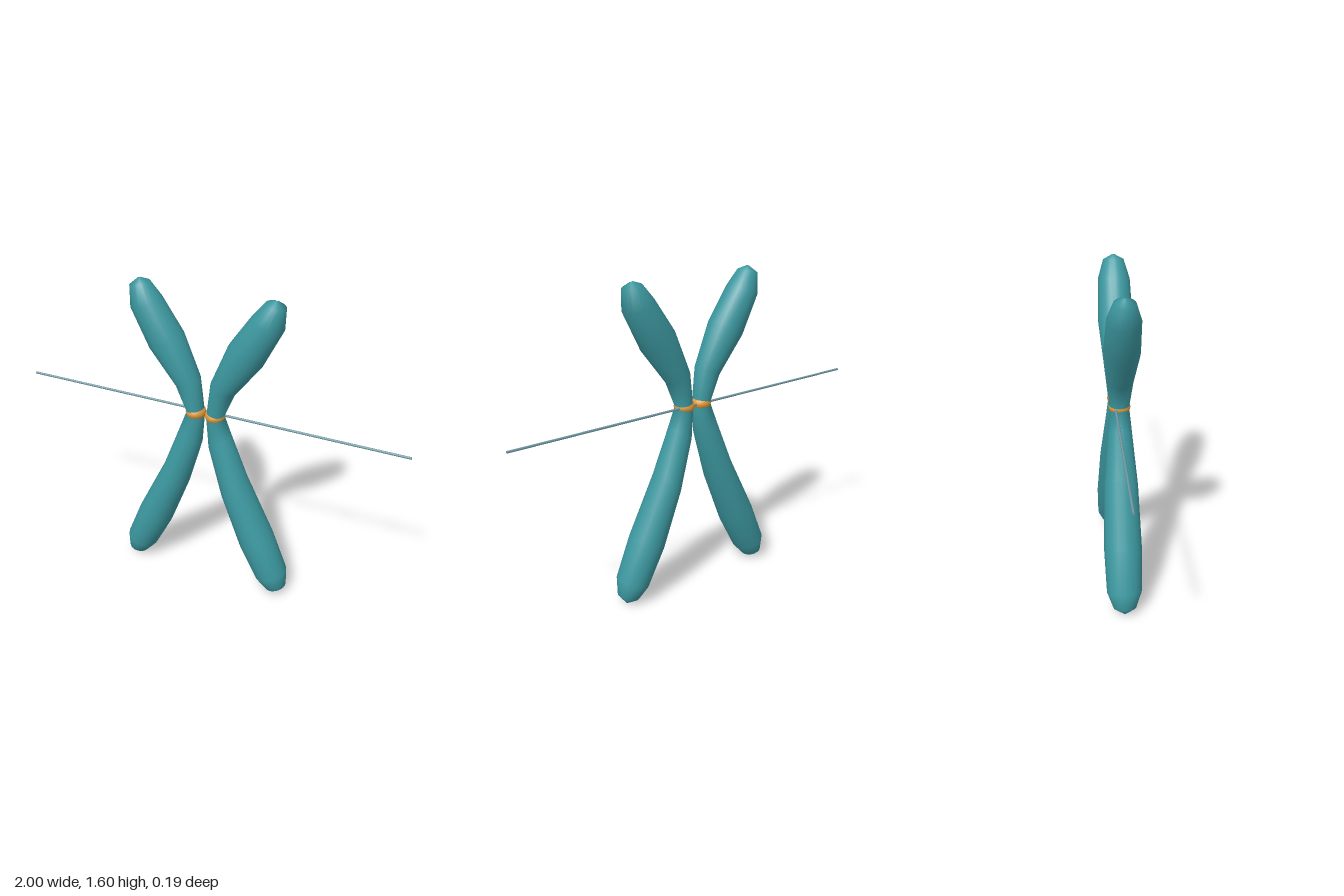
import * as THREE from 'three';

const SIDES = 20;

// Cross-sections from bottom to top: inner x, y, outer x, y, half depth in z
const SECTIONS = [
  [0.405, 0.0, 0.415, 0.0, 0.004],
  [0.355, 0.02, 0.455, 0.05, 0.056],
  [0.3, 0.08, 0.452, 0.14, 0.086],
  [0.205, 0.26, 0.37, 0.34, 0.093],
  [0.1, 0.53, 0.22, 0.64, 0.083],
  [0.022, 0.79, 0.135, 0.86, 0.06],
  [0.008, 0.95, 0.096, 0.96, 0.047],
  [0.032, 1.14, 0.15, 1.09, 0.064],
  [0.12, 1.35, 0.285, 1.265, 0.085],
  [0.23, 1.51, 0.38, 1.455, 0.078],
  [0.29, 1.582, 0.385, 1.56, 0.05],
  [0.335, 1.597, 0.345, 1.594, 0.004],
];

// Elliptical rings joined into one closed skin
function chromatidGeometry(side) {
  const pos = [], index = [];
  for (const [ix, iy, ox, oy, rz] of SECTIONS) {
    const cx = side * (ix + ox) / 2, cy = (iy + oy) / 2;
    const hx = (ox - ix) / 2, hy = side * (oy - iy) / 2;
    for (let j = 0; j < SIDES; j++) {
      const a = (j / SIDES) * Math.PI * 2;
      pos.push(cx + hx * Math.cos(a), cy + hy * Math.cos(a), rz * Math.sin(a));
    }
  }
  for (let i = 0; i < SECTIONS.length - 1; i++) {
    for (let j = 0; j < SIDES; j++) {
      const a = i * SIDES + j, b = i * SIDES + (j + 1) % SIDES;
      index.push(a, a + SIDES, b, b, a + SIDES, b + SIDES);
    }
  }
  const geo = new THREE.BufferGeometry();
  geo.setAttribute('position', new THREE.Float32BufferAttribute(pos, 3));
  geo.setIndex(index);
  geo.computeVertexNormals();
  return geo;
}

export function createModel() {
  const model = new THREE.Group();
  const teal = new THREE.MeshStandardMaterial({ color: 0x3c98a0 });
  const orange = new THREE.MeshStandardMaterial({ color: 0xe0993a });
  const steel = new THREE.MeshStandardMaterial({ color: 0x6f98a2 });

  function add(name, geometry, material) {
    const mesh = new THREE.Mesh(geometry, material);
    mesh.name = name;
    model.add(mesh);
    return mesh;
  }

  for (const side of [1, -1]) {
    const label = side > 0 ? 'left' : 'right';
    // Long and short arm in one body
    add(label + 'Chromatid', chromatidGeometry(side), teal);

    // Flattened ring around the waist
    const ring = new THREE.TorusGeometry(0.03, 0.022, 10, 24);
    ring.rotateX(Math.PI / 2);
    ring.scale(0.96, 1.2, 1.02);
    add(label + 'WaistBand', ring, orange).position.set(side * 0.051, 0.96, 0);
  }

  // Thin straight fibre running across, just behind the middle
  const fibre = new THREE.CylinderGeometry(0.006, 0.006, 2, 8);
  fibre.rotateZ(Math.PI / 2);
  add('fibre', fibre, steel).position.set(0, 0.96, -0.02);

  return model;
}
